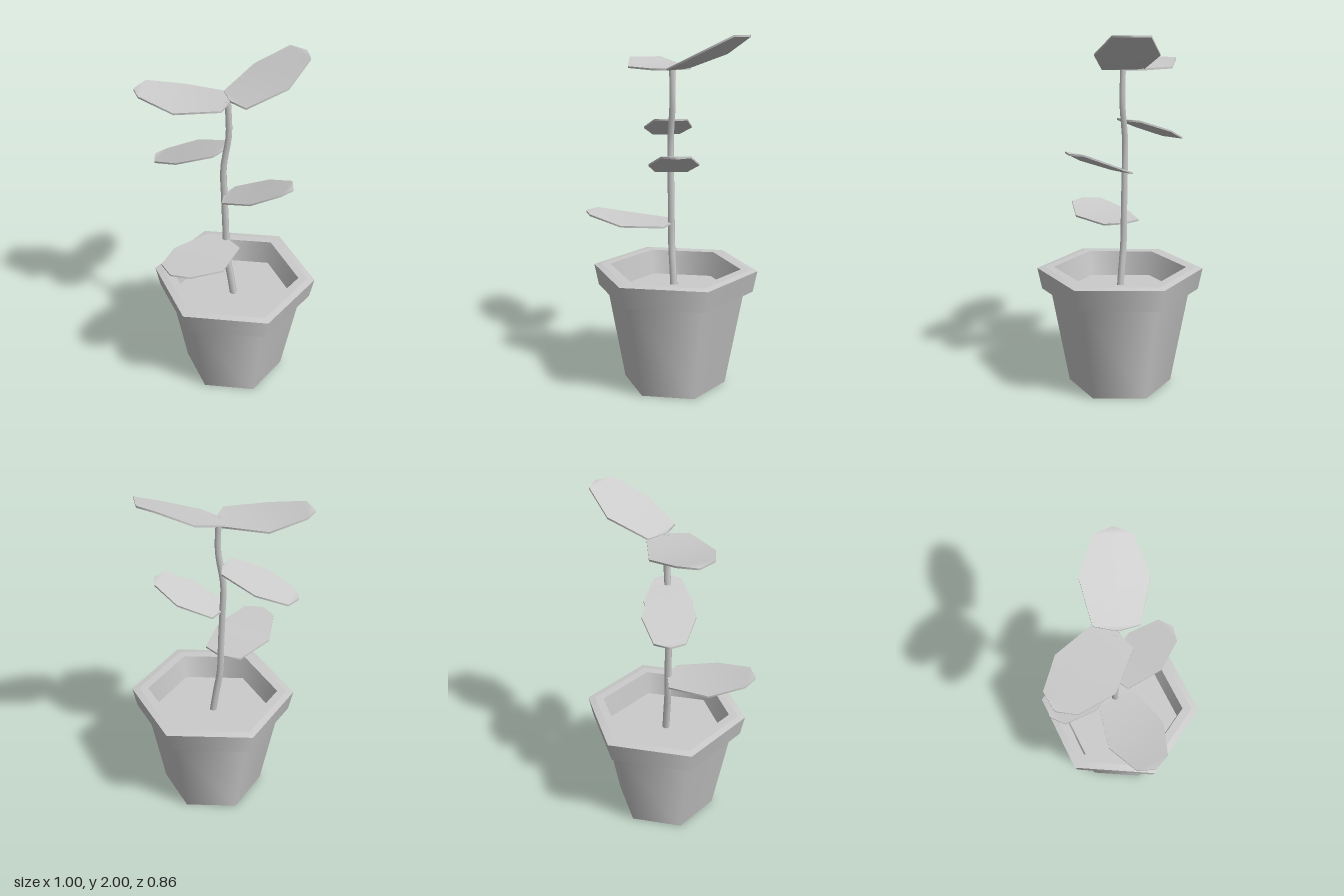
import * as THREE from 'three';

const grey = new THREE.MeshStandardMaterial({ color: 0xcccccc });

function addMesh(group, name, geometry) {
  const mesh = new THREE.Mesh(geometry, grey);
  mesh.name = name;
  group.add(mesh);
  return mesh;
}

// Six-sided pot, hollow below and filled with soil above; doubled points keep the profile edges sharp
function potGeometry() {
  const profile = [
    [0, 0.33], [0.352, 0.33], [0.295, 0], [0.298, 0], [0.4, 0.565], [0.45, 0.565],
    [0.475, 0.688], [0.433, 0.695], [0.38, 0.695], [0.355, 0.55], [0, 0.55],
  ].flatMap(([r, y]) => [new THREE.Vector2(r, y), new THREE.Vector2(r, y)]);
  return new THREE.LatheGeometry(profile.slice(1, -1), 6, Math.PI / 2);
}

// Gently bent stem, thinner towards the top
function stemGeometry() {
  const path = new THREE.CatmullRomCurve3([
    [0.022, 0.54], [0, 0.7], [-0.018, 0.82], [-0.025, 1.05], [-0.032, 1.25],
    [-0.035, 1.42], [-0.006, 1.62], [-0.008, 1.75], [-0.012, 1.82],
  ].map(([x, y]) => new THREE.Vector3(x, y, -0.018)));
  const geometry = new THREE.TubeGeometry(path, 24, 0.02, 6, false);
  const pos = geometry.attributes.position;
  for (let i = 0; i < pos.count; i++) {
    const t = Math.floor(i / 7) / 24;
    const c = path.getPointAt(t), s = 1.12 - 0.22 * t;
    pos.setX(i, c.x + (pos.getX(i) - c.x) * s);
    pos.setZ(i, c.z + (pos.getZ(i) - c.z) * s);
  }
  return geometry;
}

// Thin leaf: a slab whose five rows take their distance, half width and height from lists
const ALONG = [0, 0.06, 0.53, 0.915, 1];
const HALF_WIDTH = [0.006, 0.115, 0.172, 0.098, 0.006];

function leafGeometry(length, scale, heights) {
  const geometry = new THREE.BoxGeometry(2, 0.01, 4, 2, 1, 4);
  const pos = geometry.attributes.position;
  for (let i = 0; i < pos.count; i++) {
    const row = Math.round(pos.getZ(i) + 2);
    pos.setXYZ(i, pos.getX(i) * HALF_WIDTH[row] * scale,
      pos.getY(i) + heights[row], ALONG[row] * length);
  }
  geometry.computeVertexNormals();
  return geometry;
}

export function createModel() {
  const model = new THREE.Group();
  model.name = 'pottedPlant';

  addMesh(model, 'pot', potGeometry()).position.set(0.025, 0, -0.02);
  addMesh(model, 'stem', stemGeometry());

  // Leaves: base and tip on the ground plan, width scale, height of each row
  const leaves = [
    ['topLeftLeaf', [0, -0.02], [0.37, -0.294], 1, [1.817, 1.817, 1.9, 1.995, 1.995]],
    ['topRightLeaf', [0, -0.02], [-0.5, -0.02], 1, [1.813, 1.813, 1.815, 1.86, 1.855]],
    ['middleRightLeaf', [-0.03, -0.02], [-0.435, -0.14], 0.82, [1.53, 1.53, 1.465, 1.405, 1.405]],
    ['middleLeftLeaf', [-0.03, -0.02], [0.35, 0.1], 0.8, [1.247, 1.247, 1.315, 1.38, 1.38]],
    ['lowLeaf', [-0.02, -0.02], [-0.265, 0.415], 1, [0.942, 0.942, 0.953, 0.995, 0.997]],
  ];
  for (const [name, base, tip, scale, heights] of leaves) {
    const dx = tip[0] - base[0], dz = tip[1] - base[1];
    const leaf = addMesh(model, name, leafGeometry(Math.hypot(dx, dz), scale, heights));
    leaf.position.set(base[0], 0, base[1]);
    leaf.rotation.y = Math.atan2(dx, dz);
  }
  return model;
}
